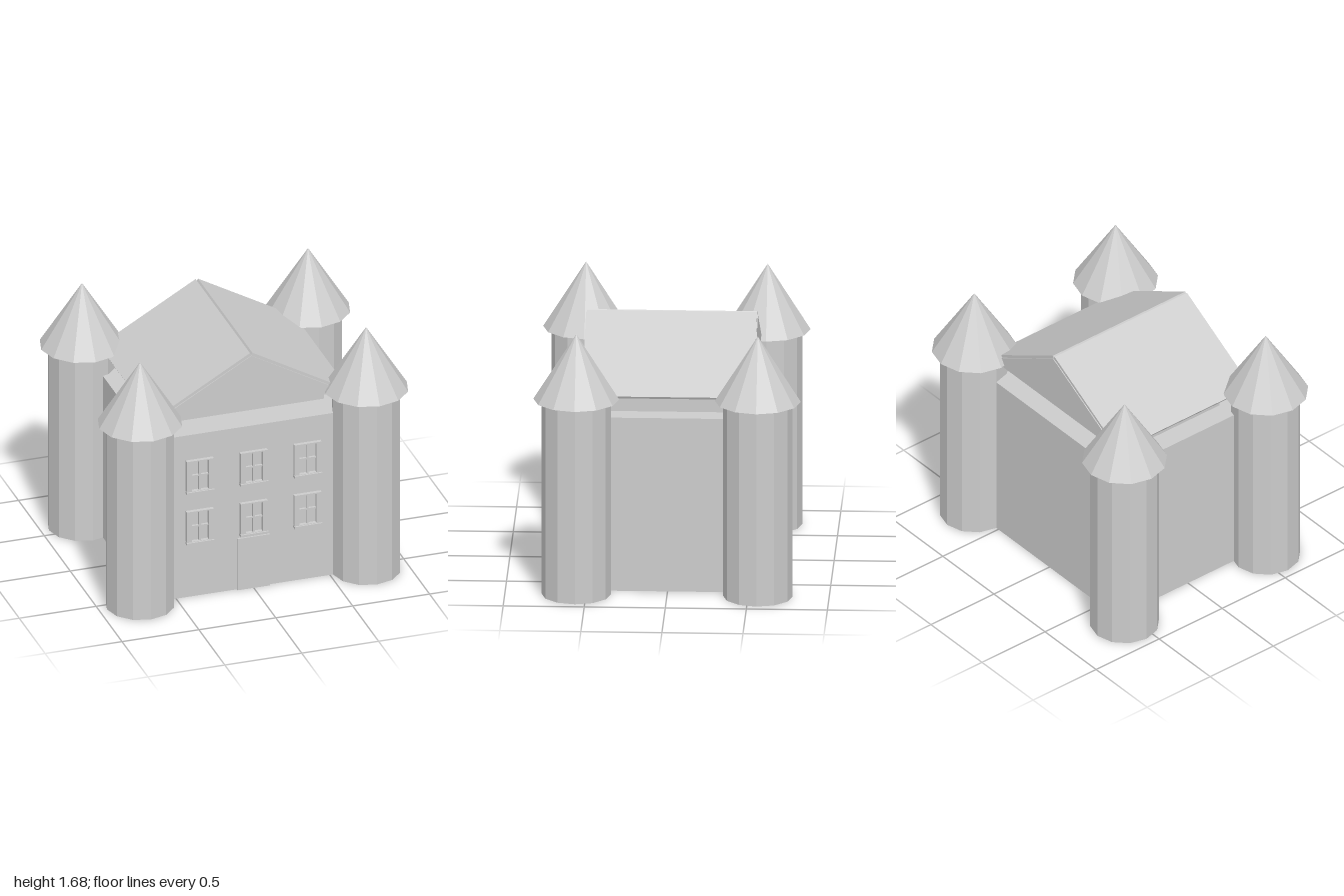
import * as THREE from 'three';

export function createModel() {
  const model = new THREE.Group();
  const stone = new THREE.MeshStandardMaterial({ color: 0xcccccc, flatShading: true, side: THREE.DoubleSide });
  stone.name = 'grey stone';

  const add = (parent, name, geometry, x = 0, y = 0, z = 0) => {
    const mesh = new THREE.Mesh(geometry, stone);
    mesh.name = name;
    mesh.position.set(x, y, z);
    parent.add(mesh);
    return mesh;
  };
  const box = (parent, name, w, h, d, x, y, z) =>
    add(parent, name, new THREE.BoxGeometry(w, h, d), x, y, z);

  // Main block, with a set-back attic wall carrying the roof
  box(model, 'mainWalls', 1.33, 1.12, 1.12, 0, 0.56, 0);
  box(model, 'atticWall', 1.06, 0.12, 0.72, 0, 1.18, 0);

  // Gable prism
  const gable = new THREE.Shape([
    new THREE.Vector2(-0.61, 1.24),
    new THREE.Vector2(0.61, 1.24),
    new THREE.Vector2(0, 1.587),
  ]);
  const prism = new THREE.ExtrudeGeometry(gable, { depth: 1.06, bevelEnabled: false });
  add(model, 'gableRoof', prism, 0, 0, -0.53);

  // Thin roof slabs, mirrored about the ridge
  for (const s of [-1, 1]) {
    const slab = new THREE.Shape([
      new THREE.Vector2(0, 1.587),
      new THREE.Vector2(s * 0.627, 1.233),
      new THREE.Vector2(s * 0.635, 1.247),
      new THREE.Vector2(s * 0.008, 1.605),
      new THREE.Vector2(0, 1.592),
    ]);
    add(model, s < 0 ? 'rightRoofSlab' : 'leftRoofSlab',
      new THREE.ExtrudeGeometry(slab, { depth: 1.05, bevelEnabled: false }), 0, 0, -0.525);
  }

  // Four open twelve-sided corner towers with pointed caps
  for (const x of [-0.735, 0.735]) {
    for (const z of [-0.56, 0.56]) {
      const tower = new THREE.Group();
      tower.name = 'cornerTower';
      tower.position.set(x, 0, z);
      add(tower, 'towerWall', new THREE.CylinderGeometry(0.215, 0.215, 1.26, 12, 1, true), 0, 0.63, 0);
      add(tower, 'towerCap', new THREE.ConeGeometry(0.265, 0.42, 12, 1, true), 0, 1.47, 0);
      model.add(tower);
    }
  }

  // Windows: frame with opening, glazing bars and sill
  const rect = (Type, x, y) => {
    const path = new Type();
    path.moveTo(-x, -y).lineTo(x, -y).lineTo(x, y).lineTo(-x, y).closePath();
    return path;
  };
  const frameShape = rect(THREE.Shape, 0.088, 0.108);
  frameShape.holes.push(rect(THREE.Path, 0.055, 0.1));
  const frameGeometry = new THREE.ExtrudeGeometry(frameShape, { depth: 0.025, bevelEnabled: false });
  for (const x of [-0.35, 0, 0.35]) {
    for (const y of [0.49, 0.84]) {
      const win = new THREE.Group();
      win.name = 'window';
      win.position.set(x, y, 0.56);
      add(win, 'windowFrame', frameGeometry);
      box(win, 'mullion', 0.014, 0.2, 0.016, 0, 0, 0.008);
      box(win, 'transom', 0.11, 0.01, 0.016, 0, 0, 0.008);
      box(win, 'windowSill', 0.18, 0.015, 0.036, 0, -0.11, 0.018);
      model.add(win);
    }
  }

  // Front door
  box(model, 'frontDoor', 0.21, 0.355, 0.016, 0, 0.1775, 0.567);

  return model;
}
